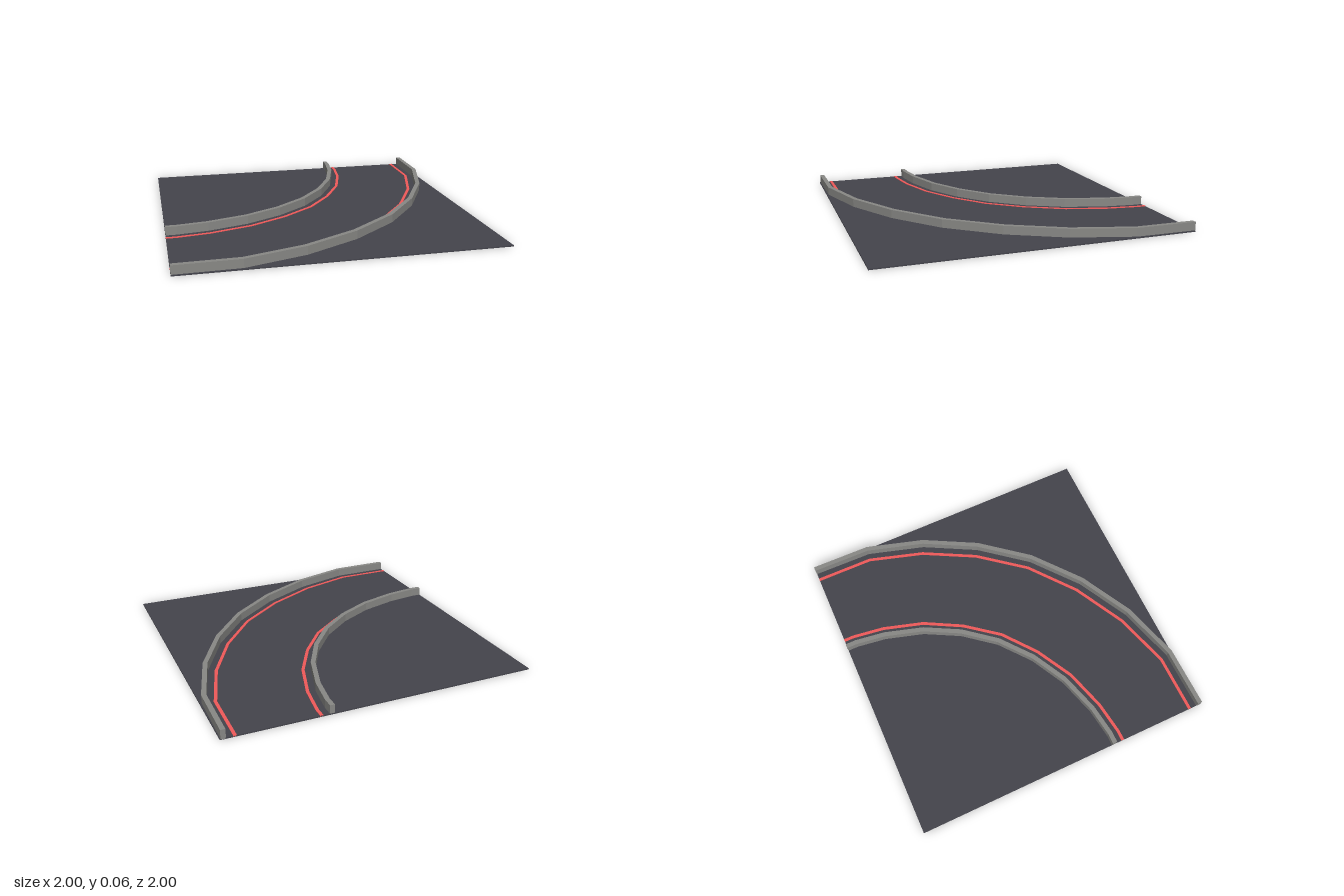
import * as THREE from 'three';

const paint = (color) => new THREE.MeshStandardMaterial({ color, flatShading: true });

// Half of a bend as [x, z] points, mirrored across the x = z diagonal (last point lies on it)
function mirrorBend(half) {
  const rest = half.slice(0, -1).reverse().map(([x, z]) => [z, x]);
  return [...half, ...rest].map(([x, z]) => new THREE.Vector2(x, -z));
}

// Ribbon of constant width along a polyline, with mitred corners, extruded upwards
function ribbon(name, half, width, bottom, top, material) {
  const path = mirrorBend(half);
  const last = path.length - 1;
  const normal = (a, b) => new THREE.Vector2(a.y - b.y, b.x - a.x).normalize();
  const sideA = [], sideB = [];
  path.forEach((p, i) => {
    const n0 = normal(path[Math.max(i - 1, 0)], path[Math.max(i, 1)]);
    const n1 = normal(path[Math.min(i, last - 1)], path[Math.min(i + 1, last)]);
    let miter = n0.clone().add(n1).normalize();
    // ends are cut flush with the tile border
    if (i === 0) miter = new THREE.Vector2(0, 1);
    if (i === last) miter = new THREE.Vector2(-1, 0);
    miter.multiplyScalar(width / 2 / miter.dot(n1));
    sideA.push(p.clone().add(miter));
    sideB.unshift(p.clone().sub(miter));
  });
  const shape = new THREE.Shape([...sideA, ...sideB]);
  const geometry = new THREE.ExtrudeGeometry(shape, { depth: top - bottom, bevelEnabled: false });
  geometry.rotateX(-Math.PI / 2).translate(0, bottom, 0);
  const mesh = new THREE.Mesh(geometry, material);
  mesh.name = name;
  return mesh;
}

export function createModel() {
  const group = new THREE.Group();
  group.name = 'curvedRoadTile';
  const wallPaint = paint(0x888885);
  const linePaint = paint(0xf05a5a);

  // Square ground slab
  const slabHeight = 0.008;
  const slab = new THREE.Mesh(new THREE.BoxGeometry(2, slabHeight, 2), paint(0x44444c));
  slab.position.y = slabHeight / 2;
  slab.name = 'roadSlab';
  group.add(slab);

  // Barriers on both sides of the bend
  const innerWall = [[-1, 0.348], [-0.93, 0.348], [-0.735, 0.32], [-0.48, 0.243], [-0.25, 0.12], [-0.045, -0.045]];
  const outerWall = [[-1, 0.981], [-0.605, 0.974], [-0.225, 0.86], [0.12, 0.675], [0.427, 0.427]];
  group.add(ribbon('innerBarrier', innerWall, 0.03, 0.002, 0.062, wallPaint));
  group.add(ribbon('outerBarrier', outerWall, 0.03, 0.002, 0.062, wallPaint));

  // Painted edge lines beside the barriers
  const innerLine = [[-1, 0.413], [-0.935, 0.413], [-0.725, 0.383], [-0.46, 0.303], [-0.216, 0.17], [0, 0]];
  const outerLine = [[-1, 0.916], [-0.62, 0.912], [-0.257, 0.801], [0.083, 0.62], [0.382, 0.382]];
  group.add(ribbon('innerLine', innerLine, 0.02, 0.004, 0.011, linePaint));
  group.add(ribbon('outerLine', outerLine, 0.02, 0.004, 0.011, linePaint));

  return group;
}
